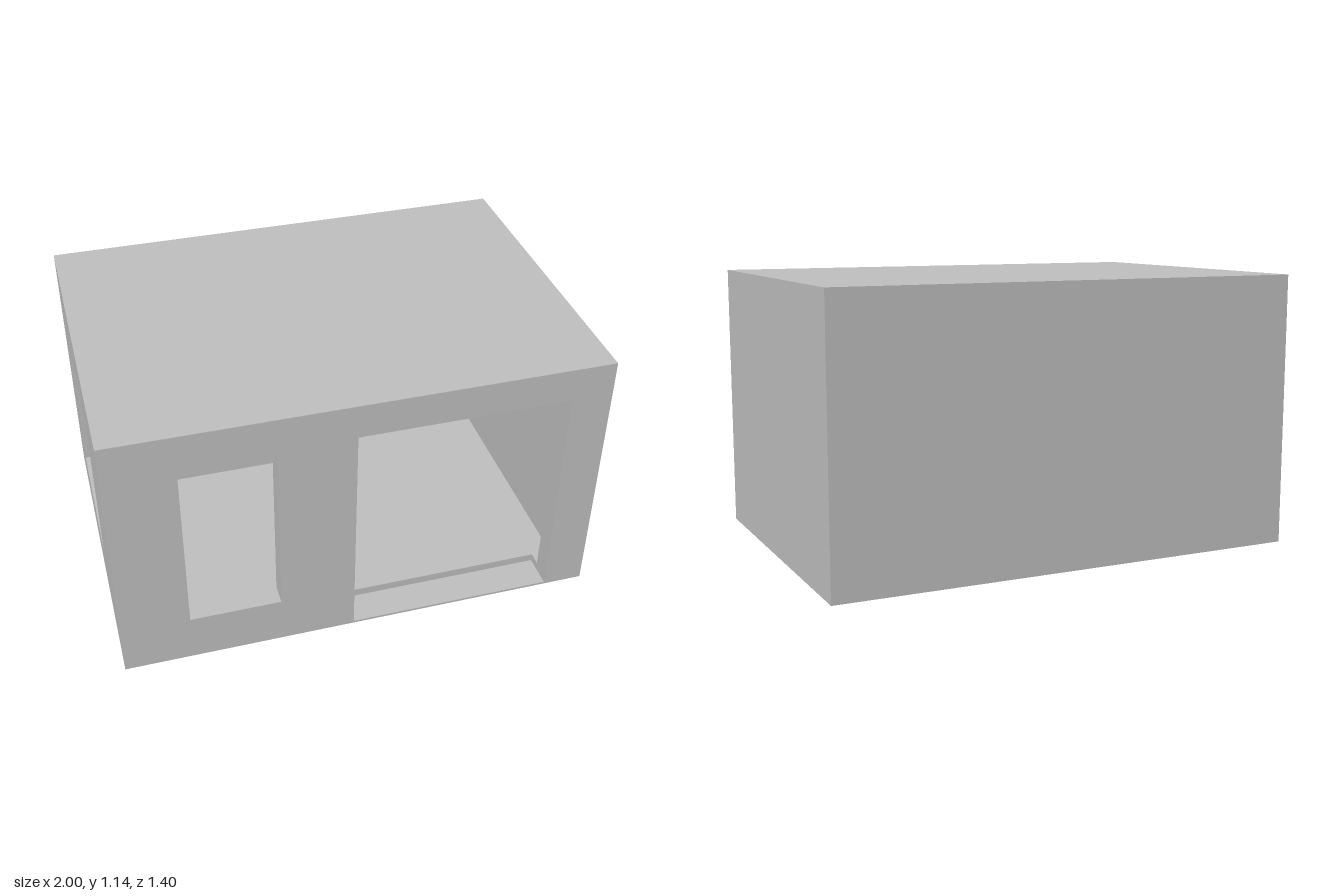
import * as THREE from 'three';

const W = 1, D = 0.7, H = 1.14;           // half width, half depth, height
const T = 0.085, BACK = 0.1;              // wall thicknesses
const BASE = 0.01, FLOOR = 0.045, CEIL = 1.05;
const DOOR = { x0: -0.035, x1: 0.83, top: 0.995 };

// Closed outline from [x, y] pairs
const outline = (pts, Type = THREE.Shape) => new Type(pts.map(([x, y]) => new THREE.Vector2(x, y)));
const rect = (x0, x1, y0, y1) => [[x0, y0], [x1, y0], [x1, y1], [x0, y1]];

export function createModel() {
  const model = new THREE.Group();
  model.name = 'room';
  const plaster = new THREE.MeshStandardMaterial({ color: 0xc0c0c0 });
  plaster.name = 'grey plaster';

  const add = (name, geometry) => {
    const mesh = new THREE.Mesh(geometry, plaster);
    mesh.name = name;
    model.add(mesh);
    return mesh;
  };
  const block = (name, x0, x1, y0, y1, z0, z1) =>
    add(name, new THREE.BoxGeometry(x1 - x0, y1 - y0, z1 - z0))
      .position.set((x0 + x1) / 2, (y0 + y1) / 2, (z0 + z1) / 2);
  const panel = (name, pts, hole) => {
    const shape = outline(pts);
    shape.holes.push(outline(hole, THREE.Path));
    return add(name, new THREE.ExtrudeGeometry(shape, { depth: T, bevelEnabled: false }));
  };

  // Base, roof and plain walls
  block('base', -W, W, 0, BASE, -D, D);
  block('roof', -W, W, CEIL, H, -D, D);
  block('backWall', -W, W, BASE, CEIL, -D, -D + BACK);
  block('leftWall', W - T, W, BASE, CEIL, -D + BACK, D - T);

  // Front wall: doorway notch reaching the base, and a tall window
  panel('frontWall', [
    [-W, BASE], [DOOR.x0, BASE], [DOOR.x0, DOOR.top], [DOOR.x1, DOOR.top],
    [DOOR.x1, BASE], [W, BASE], [W, CEIL], [-W, CEIL],
  ], rect(-0.72, -0.345, 0.21, 0.945)).position.z = D - T;

  // Right wall with a window; the shape's x axis runs along -z
  const rightWall = panel('rightWall', rect(T - D, D - BACK, BASE, CEIL), rect(-0.205, 0.448, 0.2, 0.857));
  rightWall.rotation.y = Math.PI / 2;
  rightWall.position.x = -W;

  // Raised floor, cut back behind the doorway to form the threshold
  const step = 0.56;
  block('floor', -W + T, W - T, BASE, FLOOR, -D + BACK, step);
  block('floorEdgeRight', -W + T, DOOR.x0, BASE, FLOOR, step, D - T);
  block('floorEdgeLeft', DOOR.x1, W - T, BASE, FLOOR, step, D - T);

  return model;
}
